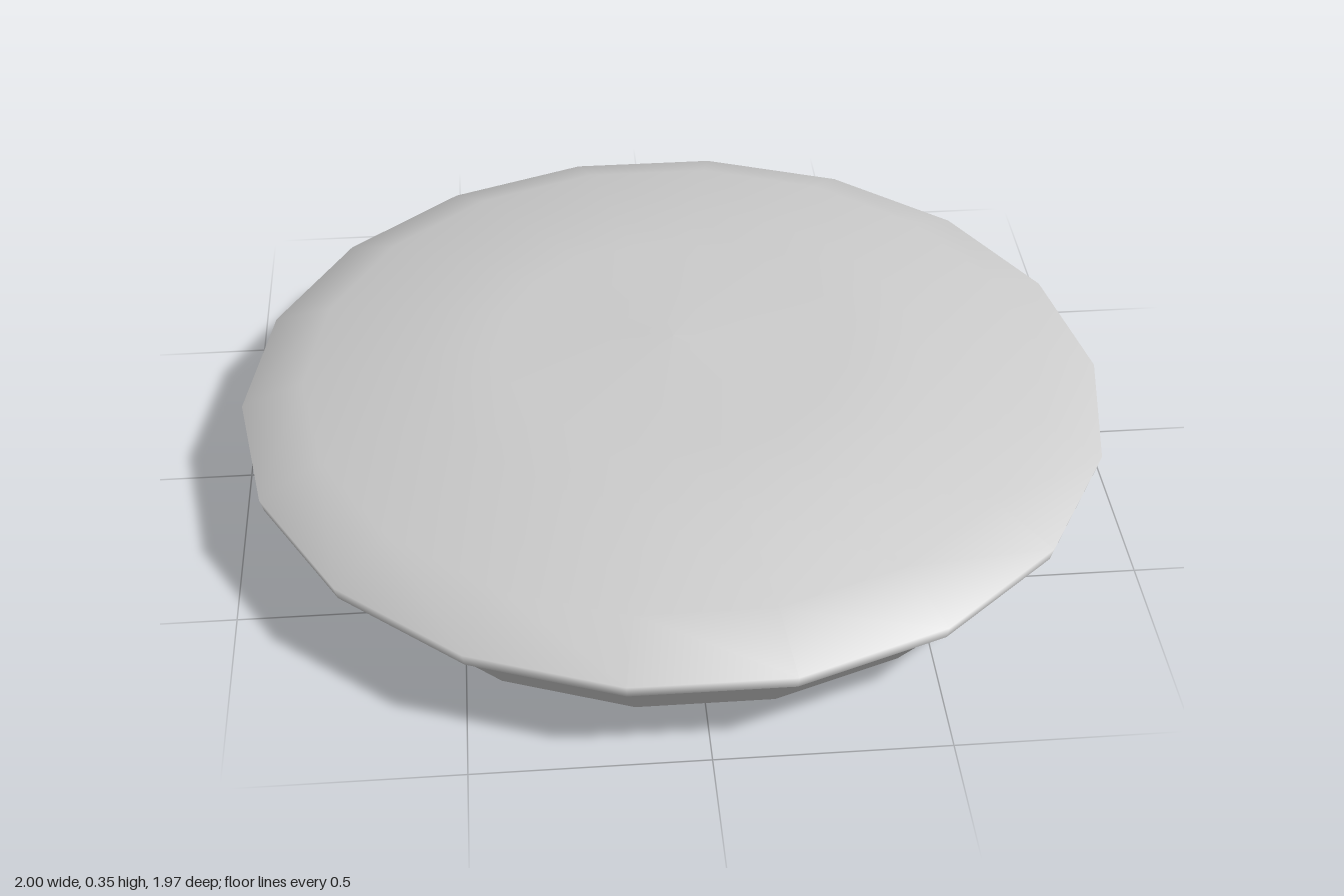
import * as THREE from 'three';

const SIDES = 18;

export function createModel() {
  const group = new THREE.Group();
  const material = new THREE.MeshStandardMaterial({ color: 0xcccccc });

  // Turned part from a [radius, height] profile, listed bottom to top
  const turned = (name, profile) => {
    const points = profile.map(([r, y]) => new THREE.Vector2(r, y));
    const geometry = new THREE.LatheGeometry(points, SIDES);
    geometry.rotateY(Math.PI / 2); // puts a corner on the x axis
    const mesh = new THREE.Mesh(geometry, material);
    mesh.name = name;
    group.add(mesh);
  };

  // Tapered dish: crisp flat bottom and sloping wall
  turned('dishBottom', [[0, 0.005], [0.85, 0.005]]);
  turned('dishWall', [[0.85, 0.005], [0.975, 0.178]]);

  // Narrow underside of the overhanging crust
  turned('crustUnderside', [[0.975, 0.178], [0.992, 0.178]]);

  // Softly domed crust with a thin rounded rim
  turned('crust', [
    [0.992, 0.178], [1, 0.21], [0.855, 0.27], [0.57, 0.325], [0.4, 0.341], [0, 0.355],
  ]);

  return group;
}
